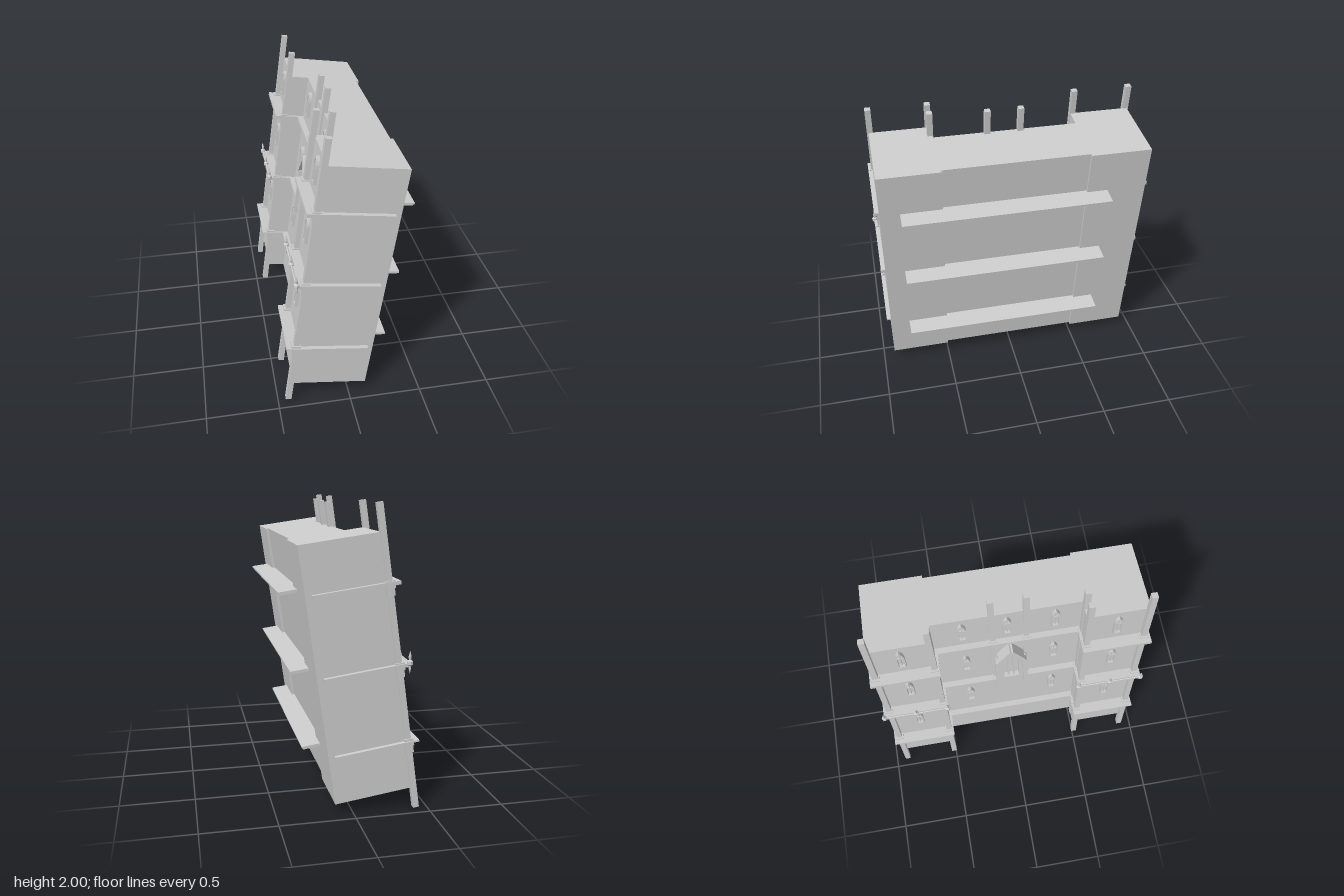
import * as THREE from 'three';

const mat = new THREE.MeshStandardMaterial({ color: 0xcccccc, flatShading: true });

function add(parent, name, geometry, x = 0, y = 0, z = 0) {
  const mesh = new THREE.Mesh(geometry, mat);
  mesh.name = name;
  mesh.position.set(x, y, z);
  parent.add(mesh);
  return mesh;
}

// Box given by its limits on each axis
function block(parent, name, [x0, x1], [y0, y1], [z0, z1]) {
  return add(parent, name, new THREE.BoxGeometry(x1 - x0, y1 - y0, z1 - z0),
    (x0 + x1) / 2, (y0 + y1) / 2, (z0 + z1) / 2);
}

// Pointed arch outline, standing on y = 0
function lancet(path, w, spring, top, base = 0) {
  path.moveTo(-w, base);
  path.lineTo(w, base);
  path.lineTo(w, spring);
  path.quadraticCurveTo(w, (spring + top) / 2 + 0.01, 0, top);
  path.quadraticCurveTo(-w, (spring + top) / 2 + 0.01, -w, spring);
  path.lineTo(-w, base);
  return path;
}

// Lancet window facing -x, its back on the wall plane
function lancetWindow(parent, wallX, y, z, s = 1) {
  const g = new THREE.Group();
  g.name = 'lancetWindow';
  const frame = lancet(new THREE.Shape(), 0.029, 0.11, 0.185);
  frame.holes.push(lancet(new THREE.Path(), 0.019, 0.11, 0.168, 0.012));
  add(g, 'windowFrame', new THREE.ExtrudeGeometry(frame, { depth: 0.025, bevelEnabled: false, curveSegments: 5 }));
  add(g, 'windowPane', new THREE.ShapeGeometry(lancet(new THREE.Shape(), 0.022, 0.11, 0.17), 5), 0, 0, 0.004);
  block(g, 'mullion', [-0.003, 0.003], [0.01, 0.165], [0, 0.016]);
  block(g, 'transom', [-0.022, 0.022], [0.105, 0.111], [0, 0.016]);
  g.scale.set(s, s, 1);
  g.rotation.y = -Math.PI / 2;
  g.position.set(wallX, y, z);
  parent.add(g);
}

// Square post with collars under the ledges
function post(parent, name, x, z, y0, y1, collars) {
  block(parent, name, [x - 0.02, x + 0.02], [y0, y1], [z - 0.02, z + 0.02]);
  for (const y of collars) {
    block(parent, 'postCollar', [x - 0.027, x + 0.027], [y - 0.075, y + 0.02], [z - 0.027, z + 0.027]);
    block(parent, 'collarCap', [x - 0.034, x + 0.027], [y - 0.03, y + 0.02], [z - 0.03, z + 0.03]);
  }
}

// Spiked finial
const finialGeo = new THREE.LatheGeometry([
  [0, -0.07], [0.008, -0.04], [0.008, -0.02], [0.02, -0.01], [0.02, 0.01], [0.008, 0.02], [0.01, 0.04], [0, 0.08],
].map(([r, y]) => new THREE.Vector2(r, y)), 6);

export function createModel() {
  const model = new THREE.Group();
  model.name = 'leaningFacade';
  const b = new THREE.Group();
  b.name = 'building';
  b.rotation.z = THREE.MathUtils.degToRad(-8);
  b.position.set(0.12, 0.075, 0);
  model.add(b);

  const towerX = -0.517, wallX = -0.39, height = 1.692;
  const ledges = [0.325, 0.84, 1.37];

  // Main block: two towers with a recessed middle, shallow recess behind
  const plan = new THREE.Shape([
    [0, -0.92], [0, -0.5], [-0.02, -0.5], [-0.02, 0.5], [0, 0.5], [0, 0.92],
    [towerX, 0.92], [towerX, 0.5], [wallX, 0.5], [wallX, -0.5], [towerX, -0.5], [towerX, -0.92],
  ].map(([x, y]) => new THREE.Vector2(x, y)));
  const body = new THREE.ExtrudeGeometry(plan, { depth: height, bevelEnabled: false });
  body.rotateX(-Math.PI / 2);
  add(b, 'mainBlock', body);

  ledges.forEach((y, i) => {
    const t = i === 0 ? 0.006 : 0.012;
    // Ledges around the towers and across the middle wall
    for (const s of [-1, 1]) {
      block(b, 'towerLedge', [-0.6, -0.04], [y - t, y + t], s < 0 ? [-0.95, -0.48] : [0.48, 0.95]);
    }
    block(b, 'middleLedge', [-0.434, -0.3], [y - t, y + t], [-0.5, 0.5]);
    // Wide stepped shelves on the plain side
    const r = [0.312, 0.842, 1.372][i];
    block(b, 'shelfTop', [-0.03, 0.125], [r, r + 0.012], [-0.645, 0.785]);
    block(b, 'shelfUnderside', [-0.03, 0.118], [r - 0.012, r], [-0.635, 0.775]);
  });

  // Corner posts, pair beside one tower, and short posts on the middle wall
  for (const z of [-0.91, -0.515, 0.515, 0.91]) {
    post(b, 'cornerPost', -0.532, z, -0.143, 1.87, ledges);
  }
  post(b, 'innerPost', -0.428, 0.515, 0.0, 1.865, ledges);
  for (const z of [-0.1, 0.13]) post(b, 'middlePost', -0.386, z, 0.76, 1.868, ledges.slice(1));

  // Lancet windows on towers and middle wall
  for (const y of [0.525, 1.035, 1.47]) {
    for (const z of [-0.715, 0.715]) lancetWindow(b, towerX, y, z);
    for (const z of [-0.3, 0.325]) lancetWindow(b, wallX, y, z);
  }
  lancetWindow(b, wallX, 1.47, 0.0);

  // Gabled central bay
  const bay = new THREE.Group();
  bay.name = 'gabledBay';
  bay.rotation.y = -Math.PI / 2;
  bay.position.set(wallX, 0.84, 0.015);
  b.add(bay);
  const gable = new THREE.Shape([[-0.085, 0], [0.085, 0], [0.085, 0.3], [0, 0.43], [-0.085, 0.3]]
    .map(([x, y]) => new THREE.Vector2(x, y)));
  gable.holes.push(lancet(new THREE.Path(), 0.055, 0.24, 0.36, 0.03));
  add(bay, 'gableFront', new THREE.ExtrudeGeometry(gable, { depth: 0.045, bevelEnabled: false, curveSegments: 5 }));
  add(bay, 'bayPane', new THREE.ShapeGeometry(lancet(new THREE.Shape(), 0.06, 0.24, 0.365), 5), 0, 0, 0.006);
  for (const x of [-0.02, 0.02]) block(bay, 'bayMullion', [x - 0.005, x + 0.005], [0.02, 0.31], [0, 0.03]);
  for (const s of [-1, 1]) {
    const slope = block(bay, 'gableCoping', [-0.09, 0.09], [-0.012, 0.012], [0, 0.075]);
    slope.position.set(s * 0.05, 0.375, 0.0375);
    slope.rotation.z = -s * Math.atan2(0.13, 0.085);
    block(bay, 'bayPier', [s * 0.098 - 0.016, s * 0.098 + 0.016], [-0.06, 0.3], [0, 0.065]);
    const tip = add(bay, 'pierTip', new THREE.ConeGeometry(0.022, 0.05, 4), s * 0.098, 0.325, 0.033);
    tip.rotation.y = Math.PI / 4;
  }

  // Rail with spiked finials on the middle tower ledges
  for (const s of [-1, 1]) {
    const rod = add(b, 'rail', new THREE.CylinderGeometry(0.007, 0.007, 0.46, 6), -0.598, 0.852, s * 0.715);
    rod.rotation.x = Math.PI / 2;
    for (const z of [0.485, 0.715, 0.945]) {
      add(b, 'finial', finialGeo, -0.598, 0.852, s * z).rotation.z = -b.rotation.z;
    }
  }
  return model;
}
